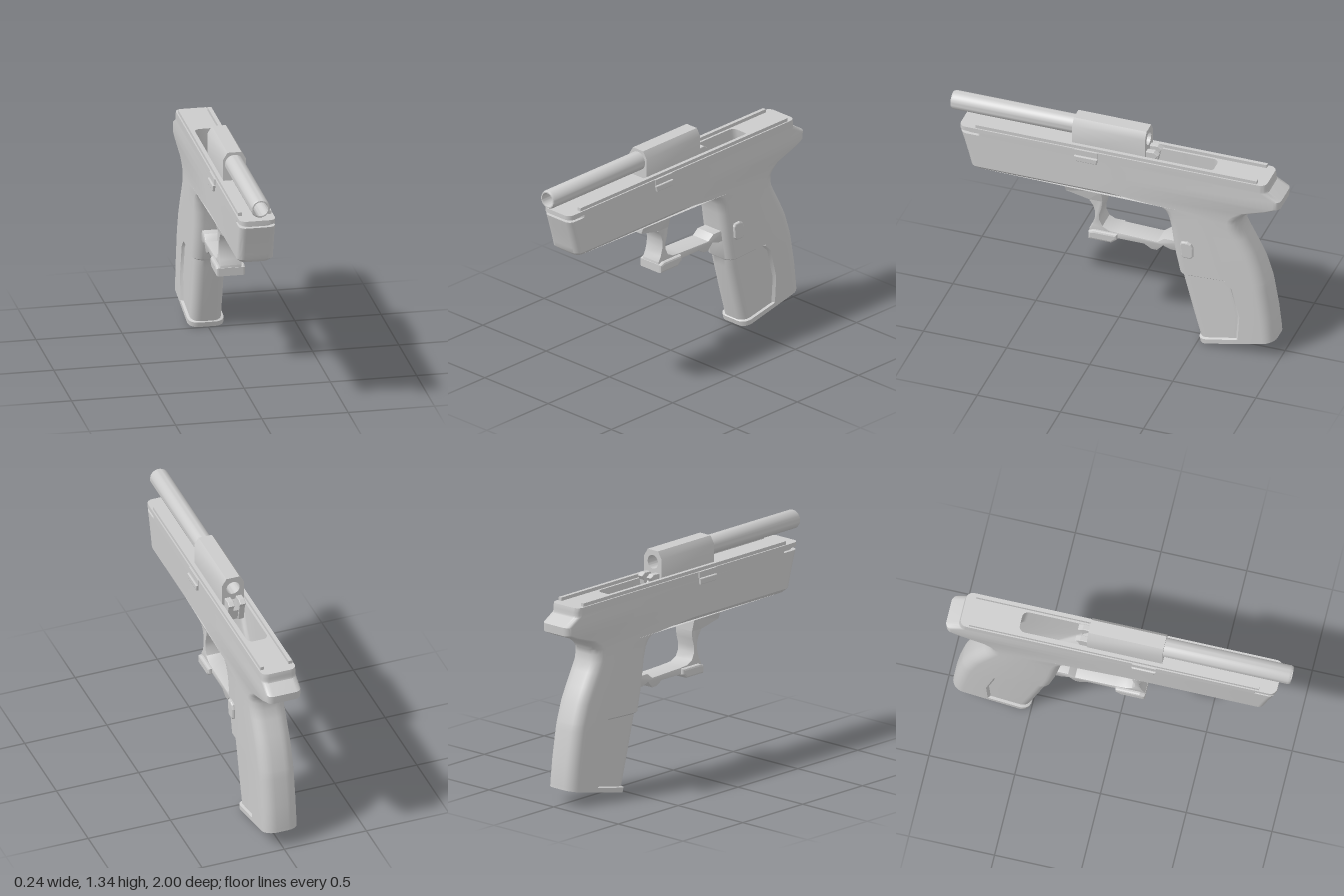
import * as THREE from 'three';
import { toCreasedNormals } from 'three/addons/utils/BufferGeometryUtils.js';

const CX = -0.006; // centre line of the body
const material = new THREE.MeshStandardMaterial({ color: 0xcccccc, side: THREE.DoubleSide });

function add(group, name, geometry, x = 0, y = 0, z = 0) {
  const mesh = new THREE.Mesh(geometry, material);
  mesh.name = name;
  mesh.position.set(x, y, z);
  group.add(mesh);
  return mesh;
}

// Extrude a (z, y) side profile symmetrically across x.
function sideExtrude(points, width, bevel = 0) {
  const shape = new THREE.Shape(points.map(p => new THREE.Vector2(p[0], p[1])));
  const depth = width - 2 * bevel;
  const geo = new THREE.ExtrudeGeometry(shape, {
    depth, bevelEnabled: bevel > 0, bevelThickness: bevel, bevelSize: bevel, bevelOffset: -bevel, bevelSegments: 2
  });
  geo.translate(0, 0, -depth / 2);
  geo.rotateY(-Math.PI / 2);
  return geo;
}

// One horizontal cross-section: the half width changes from wf to w at z = zp.
function ring({ zf, yf, zb, yb = yf, w = 0.105, wf = w, zp = (zf + zb) / 2, rf = 0.05, rb = 0.05 }) {
  const half = [];
  const n = 6;
  for (let i = 0; i <= n; i++) {
    const t = (i / n) * Math.PI / 2;
    half.push([wf - rf + rf * Math.sin(t), zf - rf + rf * Math.cos(t)]);
  }
  half.push([wf, zp], [w, zp - 0.014]);
  for (let i = 0; i <= n; i++) {
    const t = (i / n) * Math.PI / 2;
    half.push([w - rb + rb * Math.cos(t), zb + rb - rb * Math.sin(t)]);
  }
  const all = half.concat(half.slice().reverse().map(([x, z]) => [-x, z]));
  return all.map(([x, z]) => [x + CX, yf + (yb - yf) * (zf - z) / (zf - zb), z]);
}

// Join the rings in order, and the last back to the first.
function loft(rings) {
  const n = rings[0].length;
  const index = [];
  rings.forEach((_, r) => {
    const s = (r + 1) % rings.length;
    for (let i = 0; i < n; i++) {
      const j = (i + 1) % n;
      const a = r * n + i, b = r * n + j, c = s * n + j, d = s * n + i;
      index.push(a, b, c, a, c, d);
    }
  });
  const geo = new THREE.BufferGeometry();
  geo.setAttribute('position', new THREE.Float32BufferAttribute(rings.flat(2), 3));
  geo.setIndex(index);
  return toCreasedNormals(geo, 0.6);
}

function bodyGeometry() {
  const g = { rf: 0.055, rb: 0.07 };
  const panel = { ...g, wf: 0.09 };
  const top = { rf: 0.04, rb: 0.04 };
  const hole = { w: 0.062, rf: 0.03, rb: 0.035 };
  return loft([
    // base flange and recessed front panel of the grip
    { ...g, zf: -0.51, yf: 0.005, zb: -0.965, yb: 0.105, zp: -0.735 },
    { ...g, zf: -0.503, yf: 0.034, zb: -0.963, yb: 0.127, zp: -0.735 },
    { ...panel, zf: -0.508, yf: 0.04, zb: -0.963, yb: 0.132, zp: -0.735 },
    { ...panel, zf: -0.464, yf: 0.2, zb: -0.947, yb: 0.27, zp: -0.745 },
    { ...panel, zf: -0.412, yf: 0.4, zb: -0.918, yb: 0.44, zp: -0.7 },
    { ...panel, zf: -0.4, yf: 0.45, zb: -0.91, yb: 0.475, zp: -0.66 },
    // upper grip
    { ...g, zf: -0.388, yf: 0.462, zb: -0.907, yb: 0.485, zp: -0.66 },
    { ...g, zf: -0.362, yf: 0.58, zb: -0.872, yb: 0.595 },
    { ...g, zf: -0.346, yf: 0.68, zb: -0.828, yb: 0.685 },
    { ...g, zf: -0.334, yf: 0.765, zb: -0.785, yb: 0.765 },
    { ...g, zf: -0.318, yf: 0.83, zb: -0.757, yb: 0.82 },
    { ...g, zf: -0.292, yf: 0.875, zb: -0.753, yb: 0.865 },
    { ...g, zf: -0.25, yf: 0.898, zb: -0.755, yb: 0.893, zp: -0.4 },
    // underside, sloped nose and rear tang
    { ...top, zf: 0.838, yf: 0.9, zb: -0.76, w: 0.105, wf: 0.085, zp: -0.23, rb: 0.07 },
    { ...top, zf: 0.862, yf: 0.922, zb: -0.775, rb: 0.065 },
    { ...top, zf: 0.871, yf: 0.955, zb: -0.815, rb: 0.06 },
    { ...top, zf: 0.884, yf: 1.005, zb: -0.945 },
    { ...top, zf: 0.892, yf: 1.03, zb: -0.997 },
    { ...top, zf: 0.906, yf: 1.08, zb: -1.0 },
    { ...top, zf: 0.921, yf: 1.125, zb: -0.925 },
    // groove around the nose
    { ...top, zf: 0.924, yf: 1.136, zb: -0.92, zp: 0.82 },
    { ...top, zf: 0.904, yf: 1.138, zb: -0.92, zp: 0.82, wf: 0.088 },
    { ...top, zf: 0.904, yf: 1.152, zb: -0.92, zp: 0.82, wf: 0.088 },
    { ...top, zf: 0.93, yf: 1.154, zb: -0.92, zp: 0.82 },
    { ...top, zf: 0.93, yf: 1.18, zb: -0.915 },
    // top opening and the well running down through the grip
    { ...hole, zf: -0.14, yf: 1.18, zb: -0.58 },
    { ...hole, zf: -0.22, yf: 1.02, zb: -0.6 },
    { ...hole, zf: -0.35, yf: 0.85, zb: -0.69 },
    { ...hole, zf: -0.41, yf: 0.6, zb: -0.79 },
    { ...hole, zf: -0.545, yf: 0.014, zb: -0.9, yb: 0.09 }
  ].map(ring));
}

export function createModel() {
  const model = new THREE.Group();
  model.name = 'model';
  add(model, 'frame', bodyGeometry());

  // Paired top rails and side catches
  for (const s of [-1, 1]) {
    add(model, 'topRail', new THREE.BoxGeometry(0.022, 0.026, 1.69), CX + s * 0.086, 1.187, -0.015);
    add(model, 'catchPlate', new THREE.BoxGeometry(0.02, 0.036, 0.14), CX + s * 0.1, 1.162, 0.162);
    add(model, 'catchLip', sideExtrude(
      [[0.232, 1.142], [0.092, 1.142], [0.097, 1.106], [0.222, 1.106]], 0.024, 0.005), CX + s * 0.108, 0, 0);
  }

  // Barrel tube
  const wall = [[0.04, 0.25], [0.055, 0.25], [0.055, 0.988], [0.049, 1], [0.042, 1], [0.04, 0.99], [0.04, 0.25]];
  const tube = new THREE.LatheGeometry(wall.map(p => new THREE.Vector2(p[0], p[1])), 40);
  tube.rotateX(Math.PI / 2);
  add(model, 'barrel', toCreasedNormals(tube, 0.6), CX, 1.278, 0);

  // Chamber block with a through bore
  const block = new THREE.Shape([[-0.067, 1.17], [0.067, 1.17], [0.067, 1.305], [0.04, 1.348], [-0.04, 1.348],
    [-0.067, 1.305]].map(p => new THREE.Vector2(p[0], p[1])));
  block.holes.push(new THREE.Path().absarc(0, 1.278, 0.04, 0, Math.PI * 2, true));
  add(model, 'chamber', toCreasedNormals(new THREE.ExtrudeGeometry(block,
    { depth: 0.438, bevelEnabled: false, curveSegments: 20 }), 0.6), CX, 0, -0.178);

  // Sloped ramp behind the chamber, split by a central groove
  const ramp = [[-0.12, 1.215], [-0.225, 1.222], [-0.252, 1.205], [-0.235, 1.18], [-0.215, 1.08], [-0.12, 1.08]];
  for (const s of [-1, 1]) add(model, 'ramp', sideExtrude(ramp, 0.036, 0.004), CX + s * 0.034, 0, 0);
  add(model, 'rampFloor', sideExtrude(
    [[-0.12, 1.2], [-0.18, 1.2], [-0.222, 1.15], [-0.205, 1.08], [-0.12, 1.08]], 0.07), CX, 0, 0);

  // Guard: front wedge, curved post with bar, flared foot
  const wedge = sideExtrude([[0.3, 0.905], [0.3, 0.852], [0.16, 0.822], [0.08, 0.822], [0.08, 0.905]], 0.17);
  const p = wedge.attributes.position;
  for (let i = 0; i < p.count; i++) if (p.getY(i) < 0.88) p.setX(i, p.getX(i) * 0.76);
  wedge.computeVertexNormals();
  add(model, 'guardWedge', wedge, CX, 0, 0);

  const guard = [[0.16, 0.86], [0.16, 0.815], [0.137, 0.785], [0.125, 0.745], [0.127, 0.7], [0.14, 0.655],
    [0.158, 0.625], [0.158, 0.568], [0.02, 0.568], [-0.012, 0.588], [-0.17, 0.588], [-0.215, 0.562],
    [-0.248, 0.562], [-0.285, 0.602], [-0.33, 0.585], [-0.4, 0.585], [-0.4, 0.652], [-0.29, 0.652],
    [-0.25, 0.62], [-0.02, 0.627], [0.04, 0.632], [0.08, 0.652], [0.098, 0.69], [0.098, 0.73],
    [0.085, 0.775], [0.08, 0.81], [0.08, 0.86]];
  add(model, 'triggerGuard', toCreasedNormals(sideExtrude(guard, 0.126, 0.004), 0.6), CX, 0, 0);
  add(model, 'guardFoot', sideExtrude(
    [[0.16, 0.61], [0.16, 0.562], [0.02, 0.562], [-0.012, 0.588], [-0.012, 0.622], [0.13, 0.622]], 0.17, 0.012), CX, 0, 0);

  // Side button, left side only
  const button = sideExtrude([[-0.412, 0.692], [-0.405, 0.675], [-0.412, 0.605], [-0.425, 0.588], [-0.47, 0.588],
    [-0.484, 0.602], [-0.484, 0.66], [-0.472, 0.685], [-0.45, 0.695]], 0.04, 0.008);
  add(model, 'sideButton', button, 0.096, 0, 0);
  return model;
}
